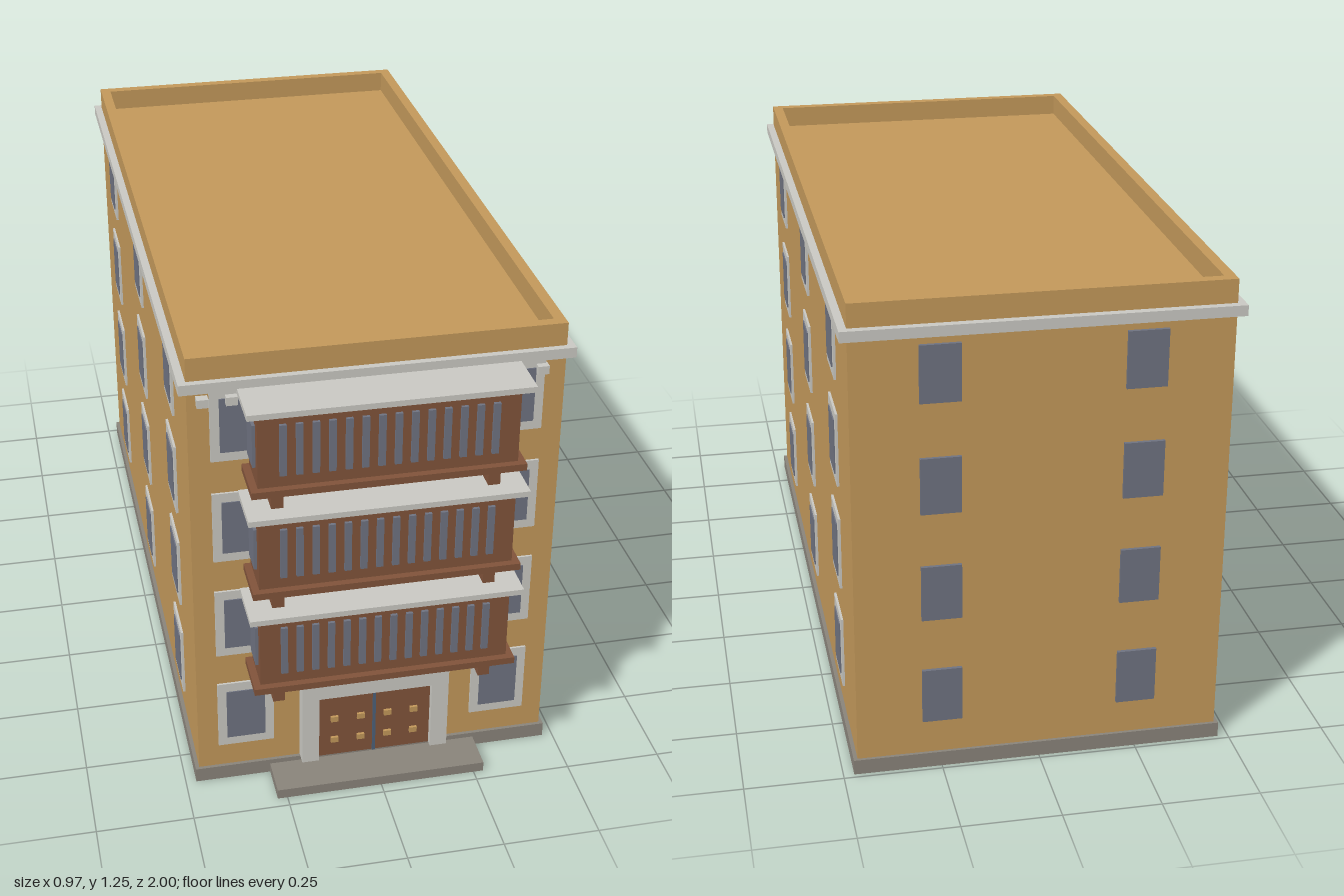
import * as THREE from 'three';

const mat = (name, color) => {
  const m = new THREE.MeshStandardMaterial({ color });
  m.name = name;
  return m;
};

export function createModel() {
  const ochre = mat('ochre wall', 0xc2985a);
  const trim = mat('pale trim', 0xc9c8c2);
  const stone = mat('base stone', 0x89837a);
  const brown = mat('brown wood', 0x80533a);
  const glass = mat('grey glass', 0x6e7280);
  const slate = mat('door seam', 0x4c6078);

  const model = new THREE.Group();
  model.name = 'apartmentBuilding';
  const group = (name, parent = model) => {
    const g = new THREE.Group();
    g.name = name;
    parent.add(g);
    return g;
  };
  // Box given by its limits on each axis
  const box = (parent, name, m, [x0, x1], [y0, y1], [z0, z1]) => {
    const mesh = new THREE.Mesh(new THREE.BoxGeometry(x1 - x0, y1 - y0, z1 - z0), m);
    mesh.position.set((x0 + x1) / 2, (y0 + y1) / 2, (z0 + z1) / 2);
    mesh.name = name;
    parent.add(mesh);
    return mesh;
  };

  const W = 0.463, BACK = -0.98, FRONT = 0.853, ROOF = 1.192;

  // Main block, base and doorstep
  box(model, 'walls', ochre, [-W, W], [0.04, ROOF], [BACK, FRONT]);
  box(model, 'base', stone, [-0.473, 0.473], [0, 0.04], [-0.988, 0.862]);
  box(model, 'doorstep', stone, [-0.276, 0.276], [0, 0.027], [0.862, 0.97]);

  // Cornice with dentils along the front
  box(model, 'cornice', trim, [-0.483, 0.483], [1.163, 1.19], [-1, 0.87]);
  const dentils = group('dentils');
  for (let i = 0; i < 13; i++) {
    const x = -0.427 + i * 0.069;
    box(dentils, 'dentil', trim, [x - 0.014, x + 0.014], [1.128, 1.15], [FRONT, 0.876]);
  }

  // Parapet around the flat roof
  const parapet = group('parapet');
  const T = 0.028, PY = [ROOF, 1.25];
  for (const s of [-1, 1]) {
    const xs = s < 0 ? [-W, -W + T] : [W - T, W];
    box(parapet, 'parapetSide', ochre, xs, PY, [BACK, FRONT]);
  }
  box(parapet, 'parapetFront', ochre, [-W + T, W - T], PY, [FRONT - T, FRONT]);
  box(parapet, 'parapetBack', ochre, [-W + T, W - T], PY, [BACK, BACK + T]);

  // Windows: built facing +z, then turned to their wall
  const windows = group('windows');
  const addWindow = (x, y, z, turn, framed = true) => {
    const w = group('window', windows);
    if (framed) box(w, 'windowFrame', trim, [-0.073, 0.073], [-0.098, 0.098], [0, 0.006]);
    box(w, 'windowPane', glass, [-0.05, 0.05], [-0.073, 0.073], [0, 0.009]);
    w.position.set(x, y, z);
    w.rotation.y = turn;
  };
  for (let floor = 0; floor < 4; floor++) {
    const y = 0.206 + floor * 0.287;
    for (const s of [-1, 1]) {
      addWindow(s * 0.337, y, FRONT, 0);
      addWindow(s * 0.248, y, BACK, Math.PI, false);
      for (const z of [0.547, -0.062, -0.671]) addWindow(s * W, y, z, s * Math.PI / 2);
    }
  }

  // Entrance: surround, double door, seam and small panels
  const entrance = group('entrance');
  for (const s of [-1, 1]) {
    box(entrance, 'doorJamb', trim, s < 0 ? [-0.195, -0.15] : [0.15, 0.195], [0.04, 0.24], [FRONT, 0.89]);
    box(entrance, 'doorLeaf', brown, s < 0 ? [-0.15, -0.004] : [0.004, 0.15], [0.04, 0.24], [FRONT, 0.872]);
    for (const px of [0.036, 0.106]) for (const y of [0.092, 0.16]) {
      box(entrance, 'doorStud', ochre, [s * px - 0.01, s * px + 0.01], [y - 0.008, y + 0.008], [0.872, 0.879]);
    }
  }
  box(entrance, 'doorLintel', trim, [-0.195, 0.195], [0.24, 0.283], [FRONT, 0.89]);
  box(entrance, 'doorSeam', slate, [-0.004, 0.004], [0.04, 0.24], [FRONT, 0.876]);

  // Enclosed balconies on the three upper floors
  for (let i = 0; i < 3; i++) {
    const b = group('balcony');
    b.position.y = 0.36 + i * 0.2875;
    box(b, 'balconyFloor', brown, [-0.335, 0.335], [0, 0.018], [FRONT, 0.99]);
    box(b, 'balconyBody', brown, [-0.317, 0.317], [0.018, 0.218], [FRONT, 0.972]);
    box(b, 'balconyRoof', trim, [-0.345, 0.345], [0.218, 0.233], [FRONT, 1]);
    for (let k = 0; k < 14; k++) {
      const x = (k - 6.5) * 0.0395;
      box(b, 'balconySlit', glass, [x - 0.0085, x + 0.0085], [0.05, 0.187], [0.972, 0.98]);
    }
    for (const s of [-1, 1]) {
      box(b, 'balconySidePane', glass, s < 0 ? [-0.325, -0.317] : [0.317, 0.325], [0.062, 0.175], [0.88, 0.948]);
      box(b, 'balconyBracket', brown, [s * 0.267 - 0.015, s * 0.267 + 0.015], [-0.055, 0], [FRONT, 0.953]);
    }
  }
  return model;
}
